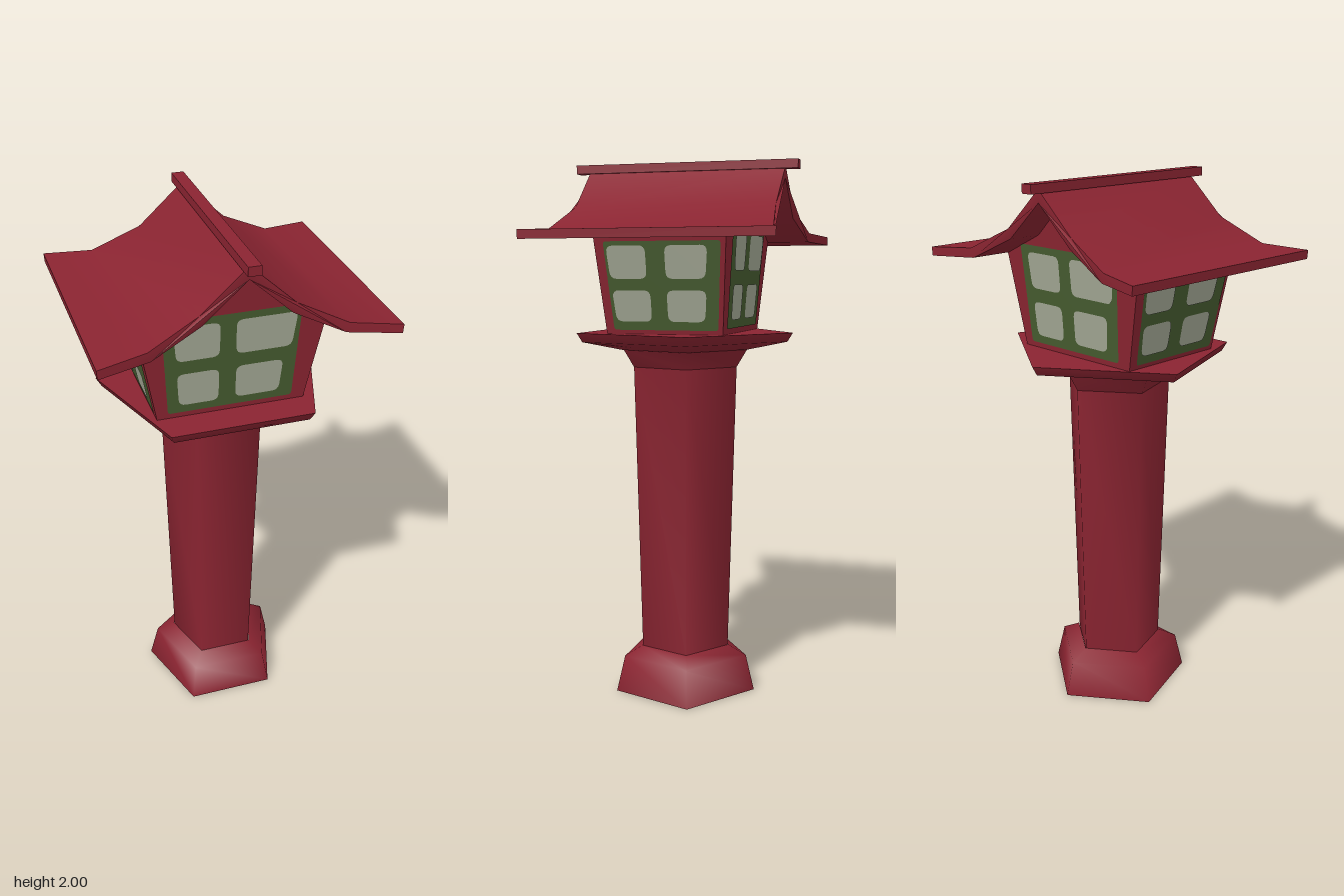
import * as THREE from 'three';
import { toCreasedNormals } from 'three/addons/utils/BufferGeometryUtils.js';

const V = (x, y) => new THREE.Vector2(x, y);

export function createModel() {
  const root = new THREE.Group();
  root.name = 'lantern';

  const mat = (name, color, side = THREE.FrontSide) => {
    const m = new THREE.MeshStandardMaterial({ color, side });
    m.name = name;
    return m;
  };
  const red = mat('redLacquer', 0x8a2431);
  const green = mat('greenFrame', 0x465c30, THREE.DoubleSide);
  const paper = mat('paperPane', 0xa2a794, THREE.DoubleSide);

  const add = (name, geometry, material, parent = root) => {
    const mesh = new THREE.Mesh(geometry, material);
    mesh.name = name;
    parent.add(mesh);
    return mesh;
  };

  // Five-sided turned parts: one corner at the back, a flat side in front
  const pentagon = (name, profile, xScale = 1) => {
    const lathe = new THREE.LatheGeometry(profile.map(([r, y]) => V(r, y)), 5, Math.PI);
    lathe.scale(xScale, 1, 1);
    const mesh = add(name, toCreasedNormals(lathe, 1.3), red);
    mesh.position.x = 0.01;
    return mesh;
  };
  pentagon('base', [[0, 0], [0.278, 0], [0.245, 0.135], [0.175, 0.17]]);
  pentagon('column', [[0.172, 0.16], [0.201, 1.25]]);
  pentagon('columnFlare', [[0.201, 1.25], [0.24, 1.315]]);
  pentagon('platform', [[0.24, 1.315], [0.392, 1.347], [0.412, 1.38], [0, 1.38]], 1.06);

  // Lantern box with gable; its walls lean outwards as they rise
  const wallZ = y => 0.215 + (y - 1.38) * 0.076;
  const wallX = y => 0.265 + (y - 1.38) * 0.191;
  const bodyShape = new THREE.Shape([
    V(-0.265, 1.375), V(0.265, 1.375), V(0.33, 1.725), V(0.16, 1.81),
    V(0, 1.95), V(-0.16, 1.81), V(-0.33, 1.725),
  ]);
  const body = new THREE.ExtrudeGeometry(bodyShape, { depth: 1, bevelEnabled: false });
  const bp = body.attributes.position;
  for (let i = 0; i < bp.count; i++) {
    bp.setZ(i, (bp.getZ(i) > 0.5 ? 1 : -1) * wallZ(bp.getY(i)));
  }
  body.computeVertexNormals();
  add('lanternBox', body, red);

  // Polygon with rounded corners
  const rounded = (pts, r) => {
    const s = new THREE.Shape();
    pts.forEach((p, i) => {
      const toward = q => p.clone().add(q.clone().sub(p).setLength(r));
      const a = toward(pts[(i + 3) % 4]);
      const b = toward(pts[(i + 1) % 4]);
      if (i) s.lineTo(a.x, a.y); else s.moveTo(a.x, a.y);
      s.quadraticCurveTo(p.x, p.y, b.x, b.y);
    });
    s.closePath();
    return s;
  };

  // Thin plate laid on a leaning wall: [left, right] at bottom and at top
  const plate = (name, [y0, y1], [b0, b1], [t0, t1], r, wall, lift, material, parent) => {
    const shape = rounded([V(b0, y0), V(b1, y0), V(t1, y1), V(t0, y1)], r);
    const g = new THREE.ShapeGeometry(shape, 4);
    const p = g.attributes.position;
    for (let i = 0; i < p.count; i++) p.setZ(i, wall(p.getY(i)) + lift);
    g.computeVertexNormals();
    add(name, g, material, parent);
  };

  // Long windows front and back, short windows on the sides
  const longWindow = {
    wall: wallZ,
    frame: [[1.4, 1.76], [-0.228, 0.218], [-0.25, 0.235]],
    panes: [
      [[1.605, 1.735], [-0.2, -0.05], [-0.212, -0.05]],
      [[1.605, 1.735], [0.008, 0.205], [0.005, 0.22]],
      [[1.43, 1.555], [-0.19, -0.05], [-0.198, -0.05]],
      [[1.43, 1.555], [0.01, 0.168], [0.01, 0.178]],
    ],
  };
  const shortWindow = {
    wall: wallX,
    frame: [[1.395, 1.705], [-0.185, 0.2], [-0.205, 0.222]],
    panes: [
      [[1.575, 1.69], [-0.185, -0.05], [-0.195, -0.05]],
      [[1.575, 1.69], [0.02, 0.163], [0.02, 0.175]],
      [[1.425, 1.535], [-0.172, -0.04], [-0.182, -0.04]],
      [[1.425, 1.535], [0.02, 0.155], [0.02, 0.165]],
    ],
  };
  ['front', 'left', 'back', 'right'].forEach((side, i) => {
    const w = i % 2 ? shortWindow : longWindow;
    const group = new THREE.Group();
    group.name = side + 'Window';
    group.rotation.y = i * Math.PI / 2;
    plate('windowFrame', ...w.frame, 0.012, w.wall, 0.003, green, group);
    w.panes.forEach(p => plate('windowPane', ...p, 0.025, w.wall, 0.006, paper, group));
    root.add(group);
  });

  // Swept gable roof: curved in section, eaves longer than the ridge
  const top = [[0.505, 1.742], [0.335, 1.752], [0.16, 1.835], [0, 1.98]];
  const under = [[0, 1.935], [0.15, 1.8], [0.325, 1.718], [0.503, 1.71]];
  const half = [...top, ...under];
  const outline = [
    ...half.slice(4).map(([x, y]) => V(x, y)),
    ...half.slice(0, 4).map(([x, y]) => V(x, y)),
    ...half.slice(0, 3).reverse().map(([x, y]) => V(-x, y)),
    ...half.slice(5).reverse().map(([x, y]) => V(-x, y)),
  ];
  const reach = x => {
    const a = Math.abs(x);
    if (a < 0.16) return 0.375;
    if (a < 0.335) return 0.375 + (a - 0.16) / 0.175 * 0.03;
    return 0.405 + (a - 0.335) / 0.17 * 0.045;
  };
  const roof = new THREE.ExtrudeGeometry(new THREE.Shape(outline), { depth: 1, bevelEnabled: false });
  const rp = roof.attributes.position;
  for (let i = 0; i < rp.count; i++) {
    rp.setZ(i, (rp.getZ(i) > 0.5 ? 1 : -1) * reach(rp.getX(i)));
  }
  add('roof', toCreasedNormals(roof, 0.6), red);

  // Ridge beam
  const ridge = add('ridgeBeam', new THREE.BoxGeometry(0.045, 0.032, 0.85), red);
  ridge.position.y = 1.984;

  return root;
}
